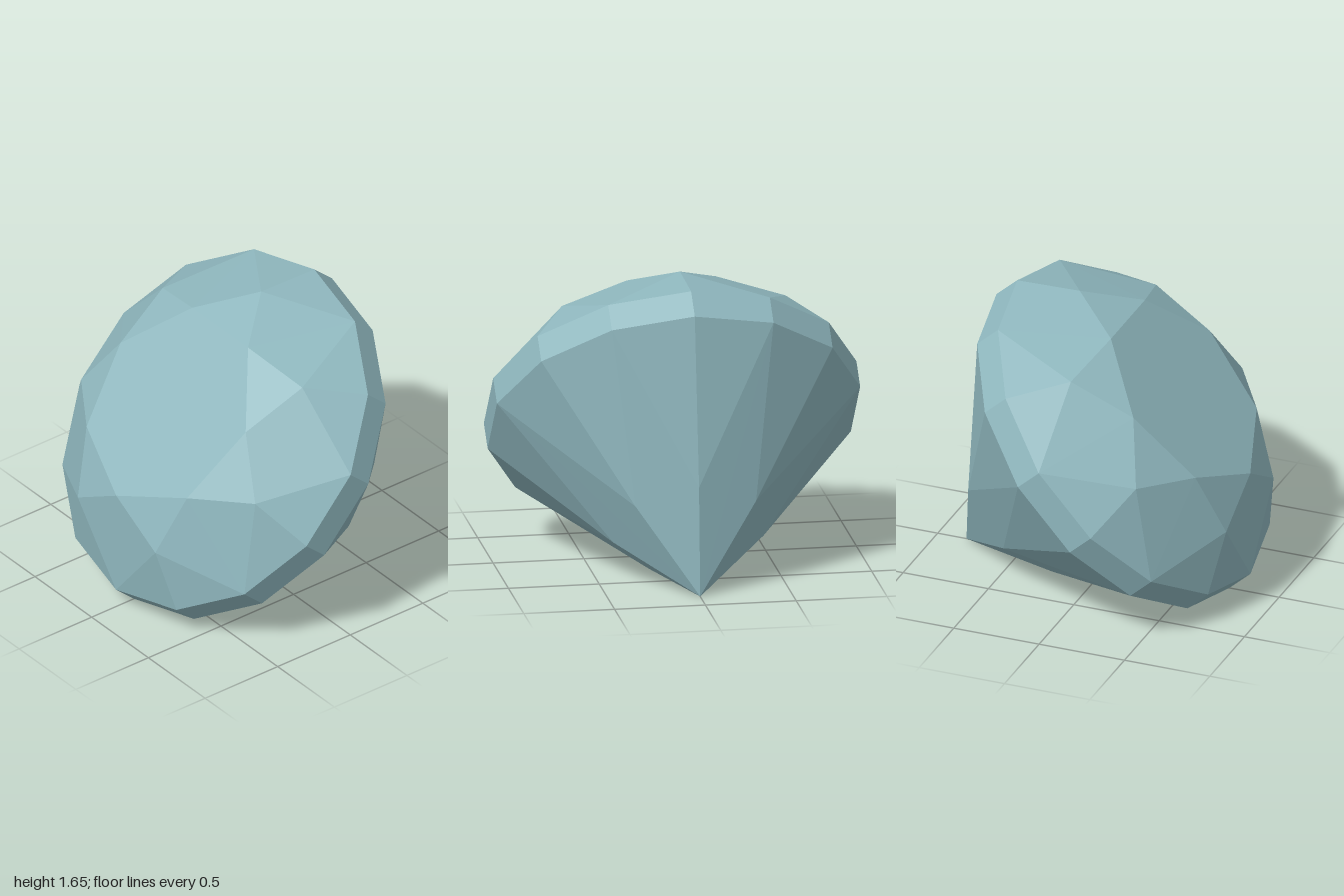
import * as THREE from 'three';

const SIDES = 14;
const STEP = (Math.PI * 2) / SIDES;

// Point on a ring; k counts steps round the gem from the front
const ringPoint = (radius, height) => (k) =>
  [radius * Math.sin(k * STEP), height, radius * Math.cos(k * STEP)];

// Rings, from the flat top down to the point
const tableRing = ringPoint(0.566, 0.572);
const crownRing = ringPoint(0.787, 0.441);
const upperGirdle = ringPoint(1.0257, 0.163);
const lowerGirdle = ringPoint(1.0257, 0);
const pavilionRing = ringPoint(0.425, -0.721);
const culet = [0, -1.151, 0];

// Unshared corners keep every facet flat
function facetMesh(name, triangles, material) {
  const geometry = new THREE.BufferGeometry();
  geometry.setAttribute('position', new THREE.Float32BufferAttribute(triangles.flat(2), 3));
  geometry.computeVertexNormals();
  const mesh = new THREE.Mesh(geometry, material);
  mesh.name = name;
  return mesh;
}

export function createModel() {
  const gemMaterial = new THREE.MeshStandardMaterial({ color: 0x8fb7be, flatShading: true });
  gemMaterial.name = 'pale teal gem';

  const table = [], crown = [], girdle = [], pavilion = [];

  // Seven repeats: k is a main facet, k + 1 the ridge beside it
  for (let k = 0; k < SIDES; k += 2) {
    const t0 = tableRing(k), t1 = tableRing(k + 2);
    const c0 = crownRing(k - 1), c1 = crownRing(k + 1);
    const p0 = pavilionRing(k - 1), p1 = pavilionRing(k + 1);
    const [u0, u1, u2] = [k, k + 1, k + 2].map(upperGirdle);
    const [l0, l1, l2] = [k, k + 1, k + 2].map(lowerGirdle);

    table.push([[0, 0.572, 0], t0, t1]);
    crown.push(
      [u0, c1, t0], [u0, t0, c0], // kite
      [c1, t1, t0],               // star facet
      [u0, u1, c1], [u1, u2, c1], // upper halves
    );
    girdle.push([l0, l1, u1], [l0, u1, u0], [l1, l2, u2], [l1, u2, u1]);
    pavilion.push(
      [culet, p1, l0], [culet, l0, p0], // long kite
      [p1, l1, l0], [p1, l2, l1],       // lower halves
    );
  }

  const gem = new THREE.Group();
  gem.name = 'cutGem';
  gem.add(
    facetMesh('table', table, gemMaterial),
    facetMesh('crown', crown, gemMaterial),
    facetMesh('girdle', girdle, gemMaterial),
    facetMesh('pavilion', pavilion, gemMaterial),
  );

  // Tip the gem to rest on its point and girdle
  gem.rotation.x = 0.842;
  gem.position.set(0, 0.7665, 0.0275);

  const model = new THREE.Group();
  model.name = 'gemstone';
  model.add(gem);
  return model;
}
